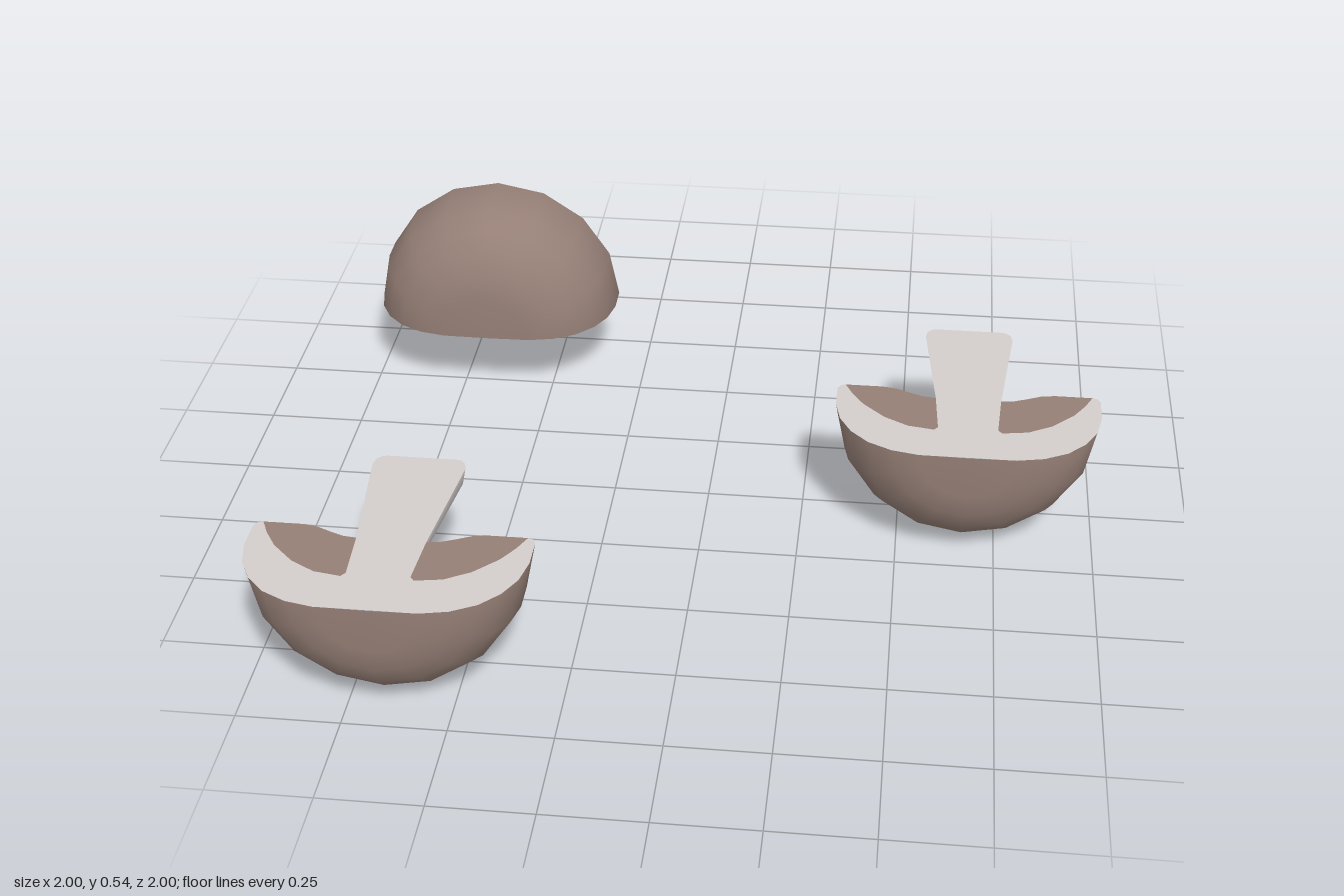
import * as THREE from 'three';

const brown = new THREE.MeshStandardMaterial({ color: 0x957f76 });
brown.name = 'capBrown';
const pale = new THREE.MeshStandardMaterial({ color: 0xd4cecc });
pale.name = 'fleshPale';

// Profiles as [radius, z]; the rim plane is z = 0, the dome points to +z
const stem = [[0, -0.3], [0.085, -0.3], [0.098, -0.297], [0.11, -0.285], [0.115, -0.262], [0.083, 0.04]];
const underside = [[0.083, 0.04], [0.115, 0.036], [0.15, 0.022], [0.185, 0.006], [0.22, 0], [0.315, 0]];
const dome = [[0.327, 0.004], [0.335, 0.018], [0.335, 0.095], [0.321, 0.16], [0.291, 0.215],
  [0.246, 0.26], [0.187, 0.29], [0.12, 0.304], [0, 0.306]];
// Border between gills and flesh on the cut, from stem to rim
const gillBorder = [[0.083, 0.04], [0.075, 0.175], [0.085, 0.187], [0.15, 0.176], [0.21, 0.142],
  [0.265, 0.088], [0.295, 0.042], [0.315, 0]];

// Half of a turned body, lying below y = 0 with its axis along z
function halfTurn(name, profile, material) {
  const points = profile.map(([r, z]) => new THREE.Vector2(r, z));
  const geometry = new THREE.LatheGeometry(points, 8, -Math.PI / 2, Math.PI);
  geometry.rotateX(Math.PI / 2);
  const mesh = new THREE.Mesh(geometry, material);
  mesh.name = name;
  return mesh;
}

// Flat face on the cut plane, facing +y
function cutFace(name, outline, material) {
  const shape = new THREE.Shape(outline.map(([x, z]) => new THREE.Vector2(x, -z)));
  const geometry = new THREE.ShapeGeometry(shape);
  geometry.rotateX(-Math.PI / 2);
  const mesh = new THREE.Mesh(geometry, material);
  mesh.name = name;
  return mesh;
}

const mirror = (points) => points.map(([x, z]) => [-x, z]);

function halfMushroom(name) {
  const group = new THREE.Group();
  group.name = name;
  group.add(halfTurn('cap', [...underside, ...dome], brown));
  group.add(halfTurn('stem', stem, pale));

  // Pale section through stem and cap
  const side = [...stem.slice(1), ...gillBorder.slice(1), ...dome.slice(0, -1)];
  group.add(cutFace('cutFlesh', [...side, ...mirror(side).reverse()], pale));

  // Brown gill section on each side of the stem
  const gill = [...underside, ...gillBorder.slice(1, -1).reverse()];
  group.add(cutFace('leftCutGills', gill, brown));
  group.add(cutFace('rightCutGills', mirror(gill), brown));
  return group;
}

export function createModel() {
  const model = new THREE.Group();
  model.name = 'mushroomHalves';

  const front = halfMushroom('frontHalf');
  front.position.set(-0.665, 0.338, 0.692);

  const middle = halfMushroom('middleHalf');
  middle.position.set(0.665, 0.338, -0.05);

  // This half lies on its cut face
  const back = halfMushroom('backHalf');
  back.rotation.z = Math.PI;
  back.position.set(-0.665, 0.204, -0.702);

  model.add(front, middle, back);
  return model;
}
